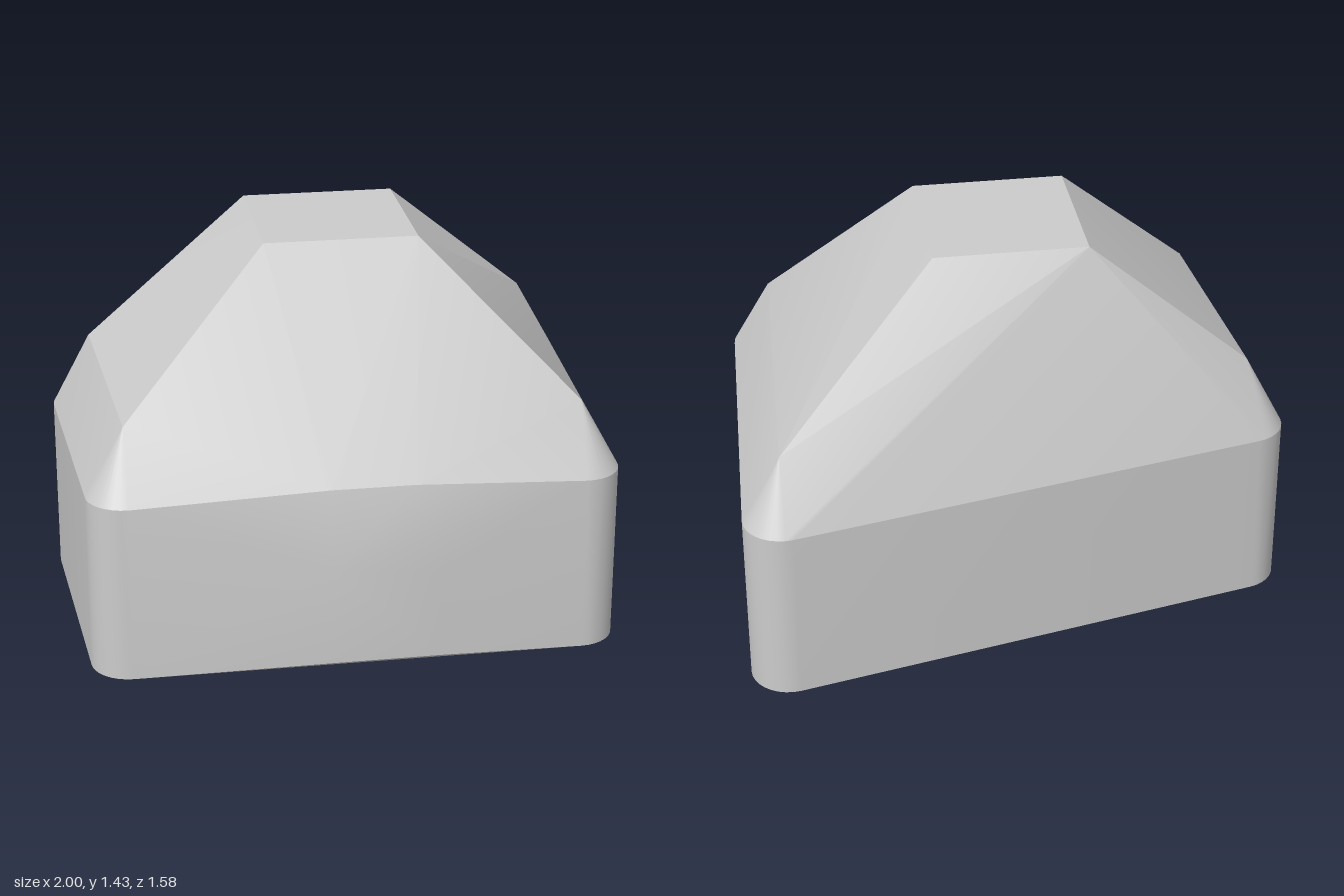
import * as THREE from 'three';
import { ConvexGeometry } from 'three/addons/geometries/ConvexGeometry.js';
import { toCreasedNormals } from 'three/addons/utils/BufferGeometryUtils.js';

const R = 0.14, STEPS = 32;
const BASE_TOP = 0.65;

// One entry per rounded corner: pillar axis x, z and the height of its pointed cap
const corners = [
  [-0.86, -0.28, 0.92],
  [0.86, -0.65, 0.9],
  [0.81, 0.58, 0.9],
  [-0.8, 0.58, 0.9],
];

// Slightly bowed front wall
const frontBulge = [
  [-0.1, 0.04, 0.785], [-0.1, 0.4, 0.785],
  [0.28, 0.03, 0.765], [0.28, 0.36, 0.765],
  [-0.1, 0.68, 0.728], [0.2, 0.68, 0.728],
];

// Small flat top
const topFace = [
  [-0.27, 1.43, -0.29], [0.28, 1.43, -0.29],
  [0.28, 1.43, 0.27], [-0.27, 1.43, 0.27],
];

export function createModel() {
  const points = [...frontBulge, ...topFace].map((p) => new THREE.Vector3(...p));

  // Rounded pillars with a cone-like cap at each corner
  for (const [x, z, capY] of corners) {
    points.push(new THREE.Vector3(x, capY, z));
    for (let i = 0; i < STEPS; i++) {
      const a = (i / STEPS) * Math.PI * 2;
      const px = x + R * Math.cos(a), pz = z + R * Math.sin(a);
      points.push(new THREE.Vector3(px, 0, pz), new THREE.Vector3(px, BASE_TOP, pz));
    }
  }

  // The body is the skin stretched around all of these
  const geometry = toCreasedNormals(new ConvexGeometry(points), 0.3);
  const body = new THREE.Mesh(geometry, new THREE.MeshStandardMaterial({ color: 0xcccccc }));
  body.name = 'keycapBody';

  const group = new THREE.Group();
  group.name = 'taperedBlock';
  group.add(body);
  return group;
}
